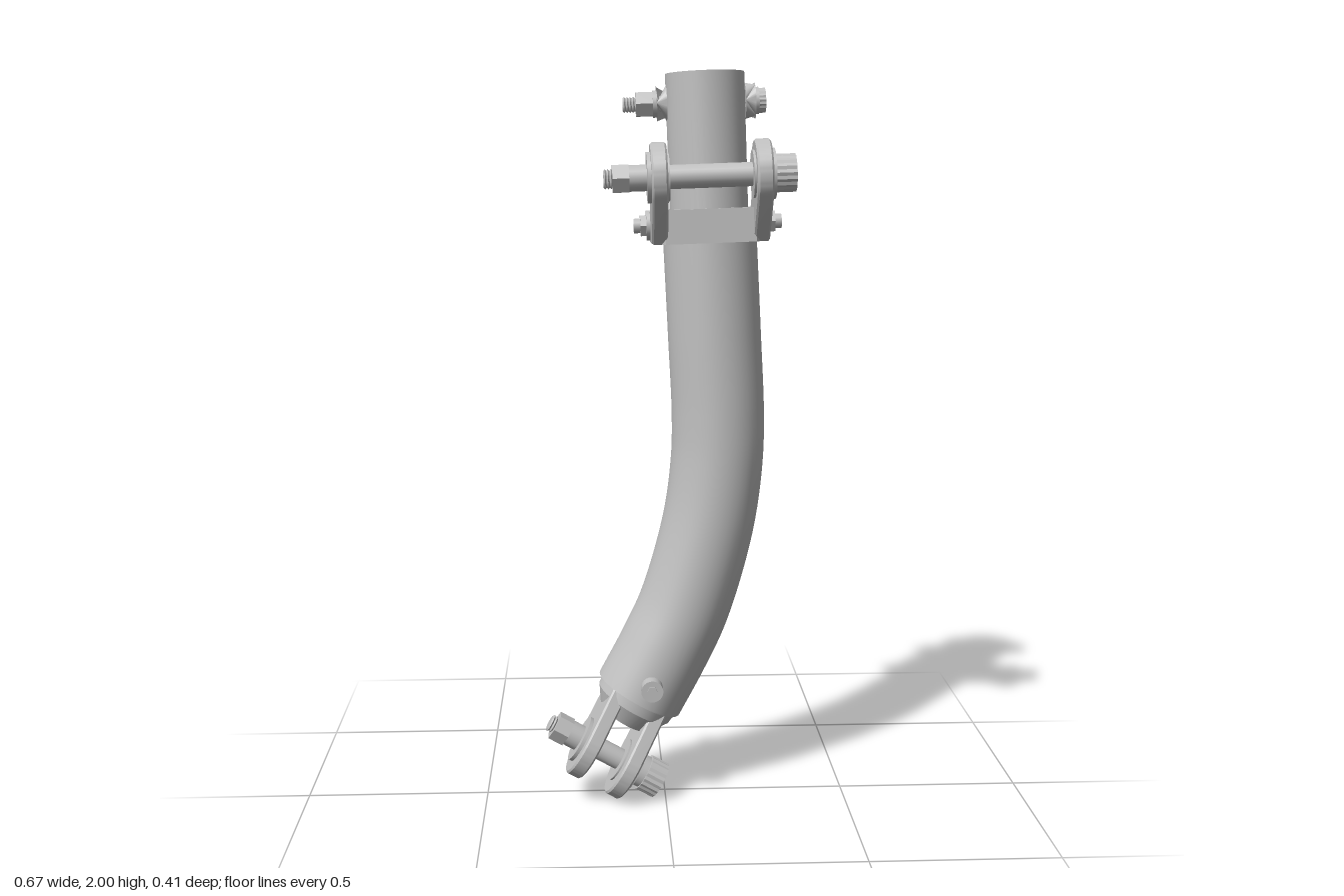
import * as THREE from 'three';
import { toCreasedNormals } from 'three/addons/utils/BufferGeometryUtils.js';

const steel = new THREE.MeshStandardMaterial({ color: 0xc0c0c0 });
steel.name = 'grey steel';
const openSteel = new THREE.MeshStandardMaterial({ color: 0xc0c0c0, side: THREE.DoubleSide });
openSteel.name = 'grey steel tube';

function add(parent, name, geometry, material = steel) {
  const mesh = new THREE.Mesh(geometry, material);
  mesh.name = name;
  parent.add(mesh);
  return mesh;
}

function subgroup(parent, name, x = 0, y = 0, z = 0) {
  const g = new THREE.Group();
  g.name = name;
  g.position.set(x, y, z);
  parent.add(g);
  return g;
}

// Round or faceted bar along x
function bar(parent, name, x0, x1, r, sides = 24) {
  let geo = new THREE.CylinderGeometry(r, r, x1 - x0, sides);
  geo.rotateZ(Math.PI / 2).translate((x0 + x1) / 2, 0, 0);
  if (sides < 10) geo = toCreasedNormals(geo, 0.3);
  return add(parent, name, geo);
}

// Ridged rod along x
function thread(parent, name, x0, x1, r, pitch = 0.008) {
  const pts = [new THREE.Vector2(0, x0)];
  for (let x = x0; x < x1 - pitch / 2; x += pitch) {
    pts.push(new THREE.Vector2(r * 0.82, x), new THREE.Vector2(r, x + pitch / 2));
  }
  pts.push(new THREE.Vector2(r * 0.82, x1), new THREE.Vector2(0, x1));
  const geo = toCreasedNormals(new THREE.LatheGeometry(pts, 16), 0.5);
  return add(parent, name, geo.rotateZ(-Math.PI / 2).scale(1, -1, -1));
}

// Toothed bolt head with a hexagonal socket, facing +x
function socketHead(parent, x0, x1, r) {
  const shape = new THREE.Shape();
  const teeth = 18;
  for (let i = 0; i < teeth * 2; i++) {
    const a = (i / teeth) * Math.PI, q = i % 2 ? r * 0.95 : r;
    shape[i ? 'lineTo' : 'moveTo'](q * Math.cos(a), q * Math.sin(a));
  }
  const hole = new THREE.Path();
  for (let i = 0; i <= 6; i++) {
    const a = -i * Math.PI / 3;
    hole[i ? 'lineTo' : 'moveTo'](r * 0.45 * Math.cos(a), r * 0.45 * Math.sin(a));
  }
  shape.holes.push(hole);
  const geo = new THREE.ExtrudeGeometry(shape, { depth: x1 - x0, bevelEnabled: false });
  add(parent, 'socketHead', geo.rotateY(Math.PI / 2).translate(x0, 0, 0));
  bar(parent, 'socketFloor', x0, x0 + (x1 - x0) * 0.4, r * 0.6);
}

// Plate drawn in (z, y), given thickness along x
function sidePlate(parent, name, shape, x, thickness) {
  const b = 0.005;
  const geo = new THREE.ExtrudeGeometry(shape, {
    depth: thickness - 2 * b, bevelThickness: b, bevelSize: b, bevelOffset: -b, bevelSegments: 1, curveSegments: 24,
  });
  geo.translate(0, 0, -thickness / 2 + b).rotateY(-Math.PI / 2).translate(x, 0, 0);
  return add(parent, name, toCreasedNormals(geo, 0.5));
}

// U-shaped strap round the back of the tube, widening to round ears
function strapGeometry(R, r, ear, backHalf) {
  const line = (q) => {
    const pts = [];
    for (let i = 0; i < 8; i++) pts.push([q, ear * Math.cos((i / 8) * Math.PI / 2)]);
    for (let i = 0; i <= 32; i++) {
      const a = (i / 32) * Math.PI;
      pts.push([q * Math.cos(a), -q * Math.sin(a)]);
    }
    for (let i = 7; i >= 0; i--) pts.push([-q, ear * Math.cos((i / 8) * Math.PI / 2)]);
    return pts;
  };
  const pts = [...line(R), ...line(r).reverse()].map(p => new THREE.Vector2(...p));
  const geo = new THREE.ExtrudeGeometry(new THREE.Shape(pts), { depth: 2, bevelEnabled: false });
  geo.rotateX(Math.PI / 2).translate(0, 1, 0);
  const pos = geo.attributes.position;
  for (let i = 0; i < pos.count; i++) {
    const z = pos.getZ(i);
    const h = z > 0 ? Math.sqrt(Math.max(ear * ear - z * z, 1e-6))
      : THREE.MathUtils.lerp(ear, backHalf, Math.min(1, -z / r));
    pos.setY(i, pos.getY(i) * h);
  }
  return toCreasedNormals(geo, 0.5);
}

function buildUpper(parent) {
  const top = subgroup(parent, 'upperAssembly', 0.125, 1.56, -0.057);
  top.rotation.set(-0.035, 0, 0.035);

  // Hollow inner tube and the shoulder it slides through
  const ring = [[0.085, -0.1], [0.106, -0.1], [0.106, 0.437], [0.085, 0.437], [0.085, -0.1]];
  add(top, 'innerTube', toCreasedNormals(
    new THREE.LatheGeometry(ring.map(p => new THREE.Vector2(...p)), 40), 0.5));
  add(top, 'tubeShoulder', new THREE.RingGeometry(0.1, 0.126, 40).rotateX(-Math.PI / 2), openSteel);

  // Top clamp and its threaded bolt
  const clamp = subgroup(top, 'topClamp', 0, 0.36, 0);
  add(clamp, 'topStrap', strapGeometry(0.132, 0.105, 0.048, 0.025));
  thread(clamp, 'topThread', -0.222, 0.13, 0.021);
  bar(clamp, 'topNutWasher', -0.142, -0.13, 0.036);
  bar(clamp, 'topNut', -0.187, -0.14, 0.036, 6);
  bar(clamp, 'topHeadWasher', 0.13, 0.142, 0.036);
  socketHead(clamp, 0.14, 0.16, 0.033);

  // Yoke that wraps the tube, flat at the front
  const yoke = subgroup(top, 'yoke', -0.005, -0.011, 0);
  const outline = new THREE.Shape();
  outline.moveTo(-0.135, 0.11).lineTo(-0.145, 0);
  outline.absarc(0, 0, 0.145, Math.PI, Math.PI * 2, false);
  outline.lineTo(0.135, 0.11).lineTo(0.12, 0.13).lineTo(-0.12, 0.13).closePath();
  outline.holes.push(new THREE.Path().absarc(0, 0, 0.104, 0, Math.PI * 2, true));
  const band = new THREE.ExtrudeGeometry(outline, { depth: 0.09, bevelEnabled: false, curveSegments: 32 });
  add(yoke, 'yokeBand', toCreasedNormals(band.rotateX(Math.PI / 2).translate(0, 0.09, 0), 0.5));

  // Raised lugs on both sides
  const lug = new THREE.Shape();
  lug.moveTo(-0.04, 0.0).lineTo(0.115, 0);
  lug.absarc(0.177, 0.175, 0.09, -0.72, Math.PI * 1.09, false);
  lug.lineTo(0.05, 0.1).lineTo(0.02, 0.09).lineTo(-0.04, 0.09).closePath();
  for (const s of [-1, 1]) sidePlate(yoke, 'yokeLug', lug, s * 0.135, 0.042);

  // Pivot bolt through the lugs
  const pivot = subgroup(yoke, 'pivotBolt', 0, 0.175, 0.177);
  bar(pivot, 'pivotShaft', -0.2, 0.17, 0.031);
  thread(pivot, 'pivotThread', -0.278, -0.2, 0.026);
  bar(pivot, 'pivotNut', -0.255, -0.212, 0.041, 6);
  bar(pivot, 'pivotSpacer', -0.212, -0.155, 0.034);
  for (const s of [-1, 1]) {
    bar(pivot, 'pivotOuterBoss', s * 0.16 - 0.006, s * 0.16 + 0.006, 0.066);
    bar(pivot, 'pivotInnerBoss', s * 0.112 - 0.004, s * 0.112 + 0.004, 0.062);
  }
  socketHead(pivot, 0.164, 0.22, 0.05);

  // Small clamp bolts at the sides of the yoke
  const side = subgroup(yoke, 'sideBolts', 0, 0.05, -0.003);
  for (const s of [-1, 1]) {
    const b = subgroup(side, 'sideBolt');
    if (s < 0) b.rotation.y = Math.PI;
    bar(b, 'sideWasher', 0.15, 0.166, 0.04);
    bar(b, 'sideNut', 0.16, 0.182, 0.032, 6);
    bar(b, 'sideStud', 0.178, 0.2, 0.02, 14);
  }
}

function buildFork(parent) {
  const fork = subgroup(parent, 'lowerFork', -0.07, 0.29, -0.017);
  fork.rotation.z = -0.52;

  // Collar plugging the tube, tapering into the web between the arms
  add(fork, 'forkCollar', new THREE.CylinderGeometry(0.117, 0.113, 0.04, 40).translate(0, -0.01, 0));
  add(fork, 'forkEndCap', new THREE.CylinderGeometry(0.125, 0.125, 0.03, 40).translate(0, 0.016, 0));
  add(fork, 'forkWeb', new THREE.CylinderGeometry(0.113, 0.08, 0.05, 40).translate(0, -0.055, 0));

  // Two rounded arms
  const arm = new THREE.Shape();
  arm.moveTo(0.085, 0).lineTo(-0.085, 0).lineTo(-0.078, -0.06);
  arm.absarc(0.06, -0.18, 0.1, Math.PI * 0.98, Math.PI * 2.12, false);
  arm.closePath();
  for (const s of [-1, 1]) sidePlate(fork, 'forkArm', arm, s * 0.062, 0.042);

  // Bolt across the fork
  const bolt = subgroup(fork, 'forkBolt', 0, -0.18, 0.06);
  bar(bolt, 'forkShaft', -0.12, 0.13, 0.03);
  thread(bolt, 'forkThread', -0.188, -0.12, 0.025);
  bar(bolt, 'forkNut', -0.172, -0.128, 0.041, 6);
  bar(bolt, 'forkSpacer', -0.13, -0.08, 0.036);
  for (const s of [-1, 1]) {
    bar(bolt, 'forkOuterBoss', s * 0.086 - 0.007, s * 0.086 + 0.007, 0.066);
    bar(bolt, 'forkInnerBoss', s * 0.04 - 0.004, s * 0.04 + 0.004, 0.062);
  }
  bar(bolt, 'forkHeadWasher', 0.09, 0.122, 0.045);
  socketHead(bolt, 0.115, 0.167, 0.052);
}

export function createModel() {
  const model = new THREE.Group();
  model.name = 'bentStrut';

  // Main tube, straight above and bent towards the fork
  const path = new THREE.CatmullRomCurve3([
    [0.125, 1.56, -0.057], [0.138, 1.3, -0.048], [0.148, 1.08, -0.041], [0.145, 0.95, -0.037],
    [0.121, 0.775, -0.031], [0.056, 0.545, -0.024], [-0.001, 0.42, -0.02], [-0.07, 0.29, -0.017],
  ].map(p => new THREE.Vector3(...p)));
  add(model, 'mainTube', new THREE.TubeGeometry(path, 60, 0.127, 40), openSteel);

  // Cross pin near the lower end
  const pin = subgroup(model, 'crossPin', -0.04, 0.345, -0.017);
  pin.rotation.y = -Math.PI / 2;
  bar(pin, 'pinBody', -0.158, 0.16, 0.03);
  for (const s of [-1, 1]) bar(pin, 'pinTip', s * 0.159 - 0.004, s * 0.159 + 0.004, 0.015, 6);

  buildUpper(model);
  buildFork(model);
  return model;
}
